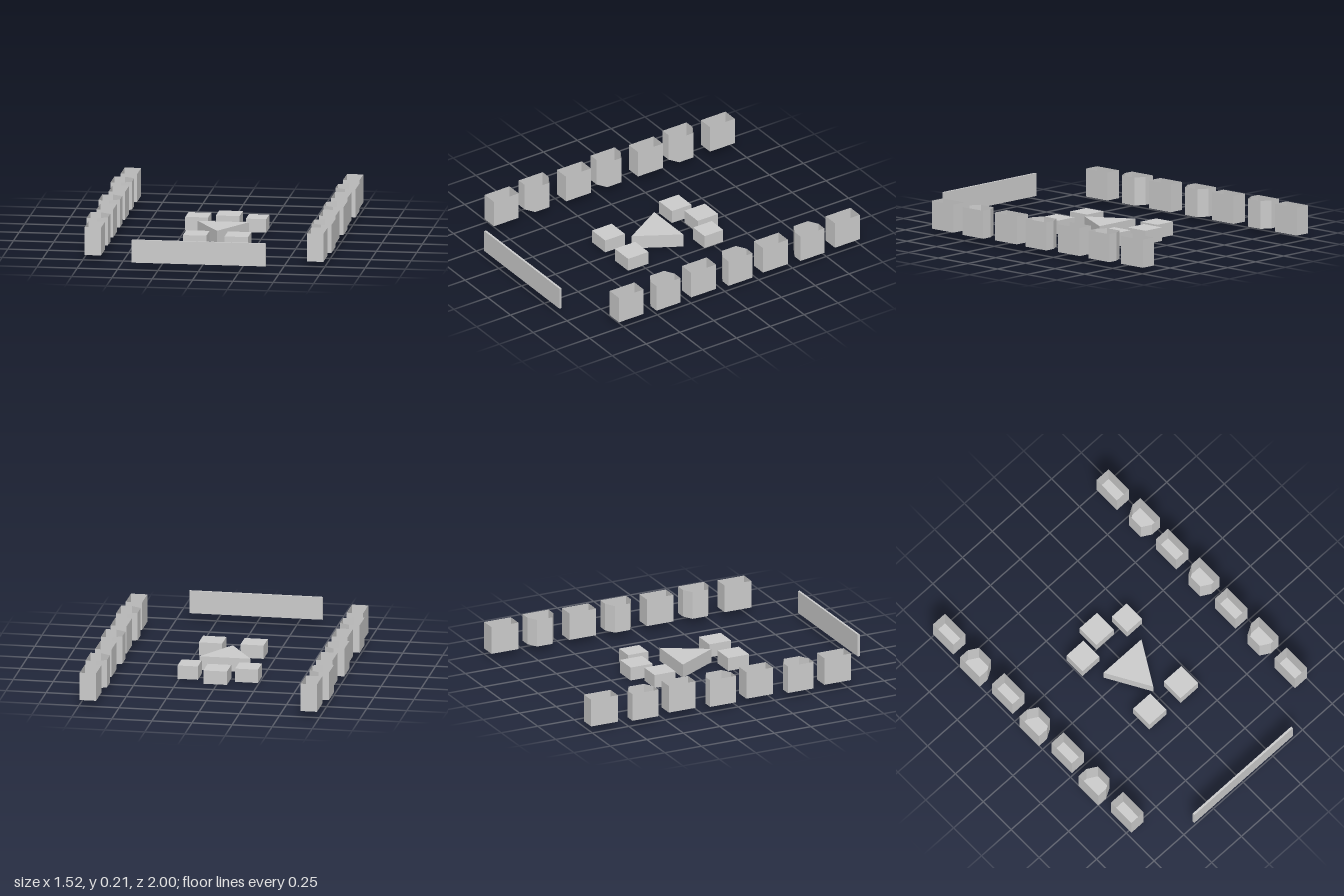
import * as THREE from 'three';

const grey = new THREE.MeshStandardMaterial({ color: 0xcccccc, flatShading: true });
const greyThin = new THREE.MeshStandardMaterial({ color: 0xcccccc, flatShading: true, side: THREE.DoubleSide });

// Box given by its extents on each axis
function block(name, [x0, x1], [y0, y1], [z0, z1]) {
  const mesh = new THREE.Mesh(new THREE.BoxGeometry(x1 - x0, y1 - y0, z1 - z0), grey);
  mesh.position.set((x0 + x1) / 2, (y0 + y1) / 2, (z0 + z1) / 2);
  mesh.name = name;
  return mesh;
}

// Thin-walled bin: a floor and walls around an outline of [x, z] points, open on top
function openBin(name, outline, y0, y1) {
  const pos = [];
  const n = outline.length;
  for (let i = 0; i < n; i++) {
    const [ax, az] = outline[i];
    const [bx, bz] = outline[(i + 1) % n];
    pos.push(ax, y0, az, ax, y1, az, bx, y1, bz);
    pos.push(ax, y0, az, bx, y1, bz, bx, y0, bz);
    if (i > 0 && i < n - 1) {
      const [ox, oz] = outline[0];
      pos.push(ox, y0, oz, ax, y0, az, bx, y0, bz);
    }
  }
  const geo = new THREE.BufferGeometry();
  geo.setAttribute('position', new THREE.Float32BufferAttribute(pos, 3));
  geo.computeVertexNormals();
  const mesh = new THREE.Mesh(geo, greyThin);
  mesh.name = name;
  return mesh;
}

export function createModel() {
  const model = new THREE.Group();

  // Two rows of open bins, square ones alternating with ones bevelled towards the middle
  const starts = [-1, -0.73, -0.468, -0.198, 0.063, 0.334, 0.597];
  for (const side of [-1, 1]) {
    const row = new THREE.Group();
    row.name = side > 0 ? 'leftBinRow' : 'rightBinRow';
    const shift = side > 0 ? 0 : -0.003;
    starts.forEach((z, i) => {
      const bevelled = i % 2 === 1;
      const d = bevelled ? 0.177 : 0.183;
      const outline = bevelled
        ? [[0.758, z], [0.758, z + d], [0.692, z + d], [0.63, z + d - 0.036], [0.63, z + 0.036], [0.692, z]]
        : [[0.745, z], [0.745, z + d], [0.643, z + d], [0.643, z]];
      const placed = outline.map(([x, pz]) => [side * x + (bevelled ? shift : side < 0 ? 0.01 : 0), pz]);
      row.add(openBin(bevelled ? 'bevelledBin' : 'squareBin', placed, 0.037, 0.212));
    });
    model.add(row);
  }

  // Long upright panel across the front
  model.add(block('frontPanel', [-0.412, 0.418], [0.045, 0.188], [0.986, 1]));

  // Low blocks around the middle
  const lowBlocks = [
    [[-0.245, -0.103], [-0.323, -0.18]],
    [[-0.065, 0.082], [-0.398, -0.247]],
    [[0.131, 0.257], [-0.318, -0.18]],
    [[-0.185, -0.04], [0.21, 0.355]],
    [[0.074, 0.22], [0.21, 0.36]],
  ];
  for (const [xs, zs] of lowBlocks) model.add(block('lowBlock', xs, [0.004, 0.089], zs));

  // Triangular prism in the centre, pointing to the front
  const tri = new THREE.Shape([[-0.157, 0.086], [0.004, -0.19], [0.163, 0.086]].map(p => new THREE.Vector2(...p)));
  const triGeo = new THREE.ExtrudeGeometry(tri, { depth: 0.087, bevelEnabled: false });
  triGeo.rotateX(-Math.PI / 2);
  const prism = new THREE.Mesh(triGeo, grey);
  prism.name = 'centreTriangle';
  model.add(prism);

  return model;
}
